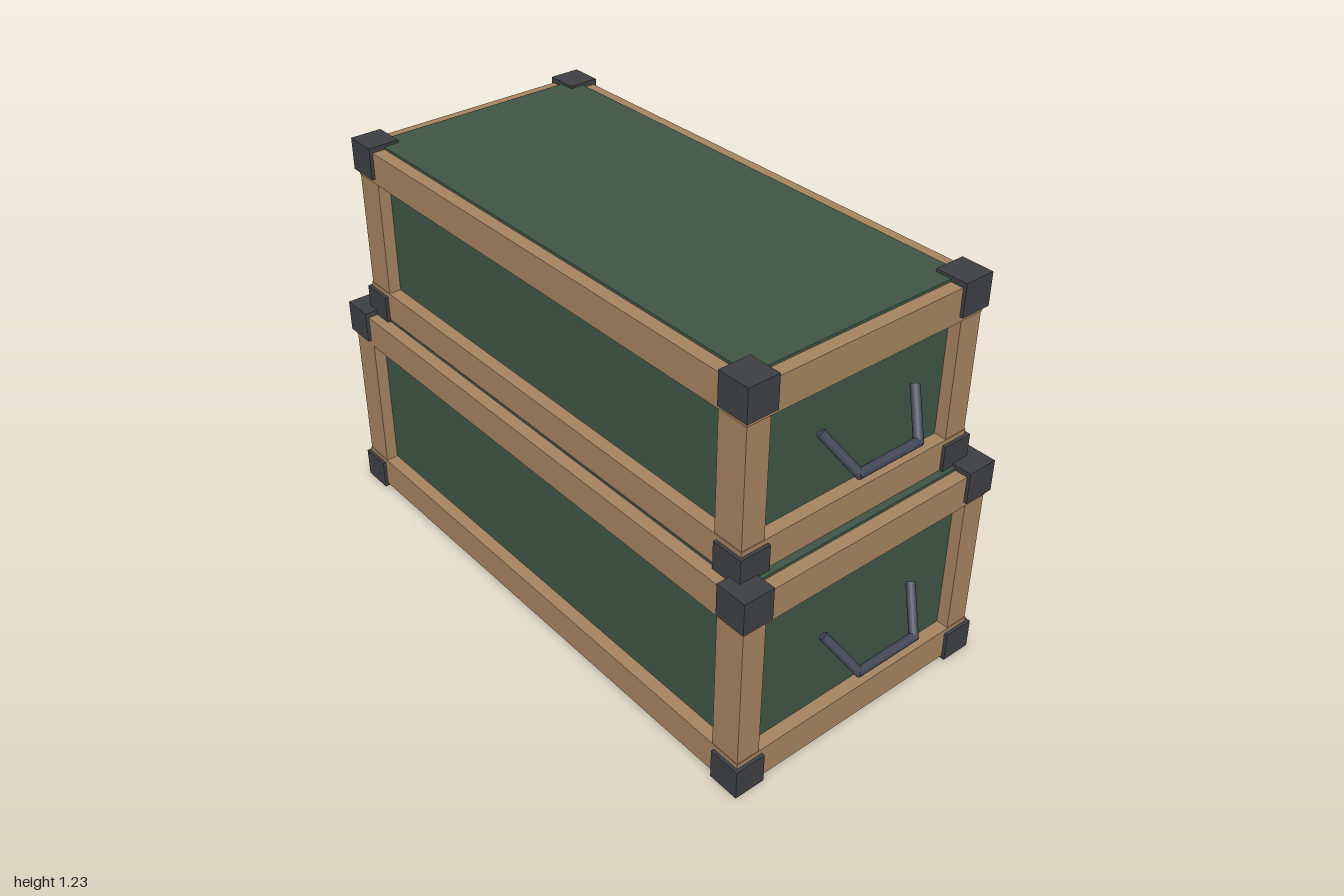
import * as THREE from 'three';

const mat = (color) => new THREE.MeshStandardMaterial({ color });

export function createModel() {
  const wood = mat(0xa58360), green = mat(0x3f5545), iron = mat(0x3d3f42);
  const steel = mat(0x444857), plate = mat(0xb3ab99), slot = mat(0x3a3c3f);
  const model = new THREE.Group();
  model.name = 'stackedCrates';

  // Box given by its minimum and maximum on each axis
  function box(parent, name, material, [x0, x1], [y0, y1], [z0, z1]) {
    const mesh = new THREE.Mesh(new THREE.BoxGeometry(x1 - x0, y1 - y0, z1 - z0), material);
    mesh.position.set((x0 + x1) / 2, (y0 + y1) / 2, (z0 + z1) / 2);
    mesh.name = name;
    parent.add(mesh);
  }

  // Span from an outer face inward, on the side given by the sign
  const span = (s, outer, width) => (s > 0 ? [outer - width, outer] : [-outer, -outer + width]);

  // Octagonal rod between two points
  function rod(parent, a, b, radius) {
    const dir = b.clone().sub(a);
    const geo = new THREE.CylinderGeometry(radius, radius, dir.length() + radius, 8);
    const mesh = new THREE.Mesh(geo, steel);
    mesh.position.copy(a).add(b).multiplyScalar(0.5);
    mesh.quaternion.setFromUnitVectors(new THREE.Vector3(0, 1, 0), dir.normalize());
    mesh.name = 'handleRod';
    parent.add(mesh);
  }

  function crate(name, { x, z, y0, y1, capBottom, handleY, plateY }) {
    const g = new THREE.Group();
    g.name = name;
    g.position.z = 0.004;
    const rail = 0.04, h = 0.099;

    // Painted box, standing slightly proud of the frame at top and bottom
    box(g, 'body', green, [-x + rail, x - rail], [y0 - 0.004, y1 + 0.008], [-z + rail, z - rail]);

    for (const [ya, yb] of [[y0, y0 + h], [y1 - h, y1]]) {
      for (const s of [-1, 1]) {
        // Wooden rails around top and bottom
        box(g, 'longRail', wood, [-x, x], [ya, yb], span(s, z, rail));
        box(g, 'shortRail', wood, span(s, x, rail), [ya, yb], [-z + rail, z - rail]);
      }
    }
    for (const sx of [-1, 1]) {
      for (const sz of [-1, 1]) {
        // Corner posts and iron corner caps
        box(g, 'cornerPost', wood, span(sx, x - 0.002, 0.097), [y0 + h, y1 - h], span(sz, z - 0.002, 0.075));
        const cx = span(sx, x + 0.01, 0.1), cz = span(sz, z + 0.01, 0.098);
        box(g, 'bottomCap', iron, cx, [capBottom, y0 + 0.084], cz);
        box(g, 'topCap', iron, cx, [y1 - 0.083, y1 + 0.016], cz);
      }

      // Bent carrying handle, leaning outward
      const handle = new THREE.Group();
      handle.name = sx > 0 ? 'leftHandle' : 'rightHandle';
      const pts = [[0, 0.1, 0.162], [0.076, 0, 0.104], [0.076, 0, -0.104], [0, 0.1, -0.162]]
        .map(([dx, dy, pz]) => new THREE.Vector3(sx * (x + 0.007 + dx), handleY + dy, pz - 0.002));
      for (let i = 0; i < 3; i++) rod(handle, pts[i], pts[i + 1], 0.0135);
      g.add(handle);
    }

    // Back label plate with an offset dark bar
    box(g, 'backPlate', plate, [-0.443, 0.443], [plateY - 0.099, plateY + 0.099], [-z - 0.008, -z + 0.004]);
    box(g, 'backBar', slot, [-0.4, 0.097], [plateY - 0.04, plateY + 0.04], [-z - 0.016, -z - 0.004]);
    model.add(g);
  }

  crate('lowerCrate', { x: 0.905, z: 0.443, y0: 0.01, y1: 0.651, capBottom: 0, handleY: 0.29, plateY: 0.33 });
  crate('upperCrate', { x: 0.843, z: 0.402, y0: 0.654, y1: 1.216, capBottom: 0.645, handleY: 0.893, plateY: 0.935 });
  return model;
}
